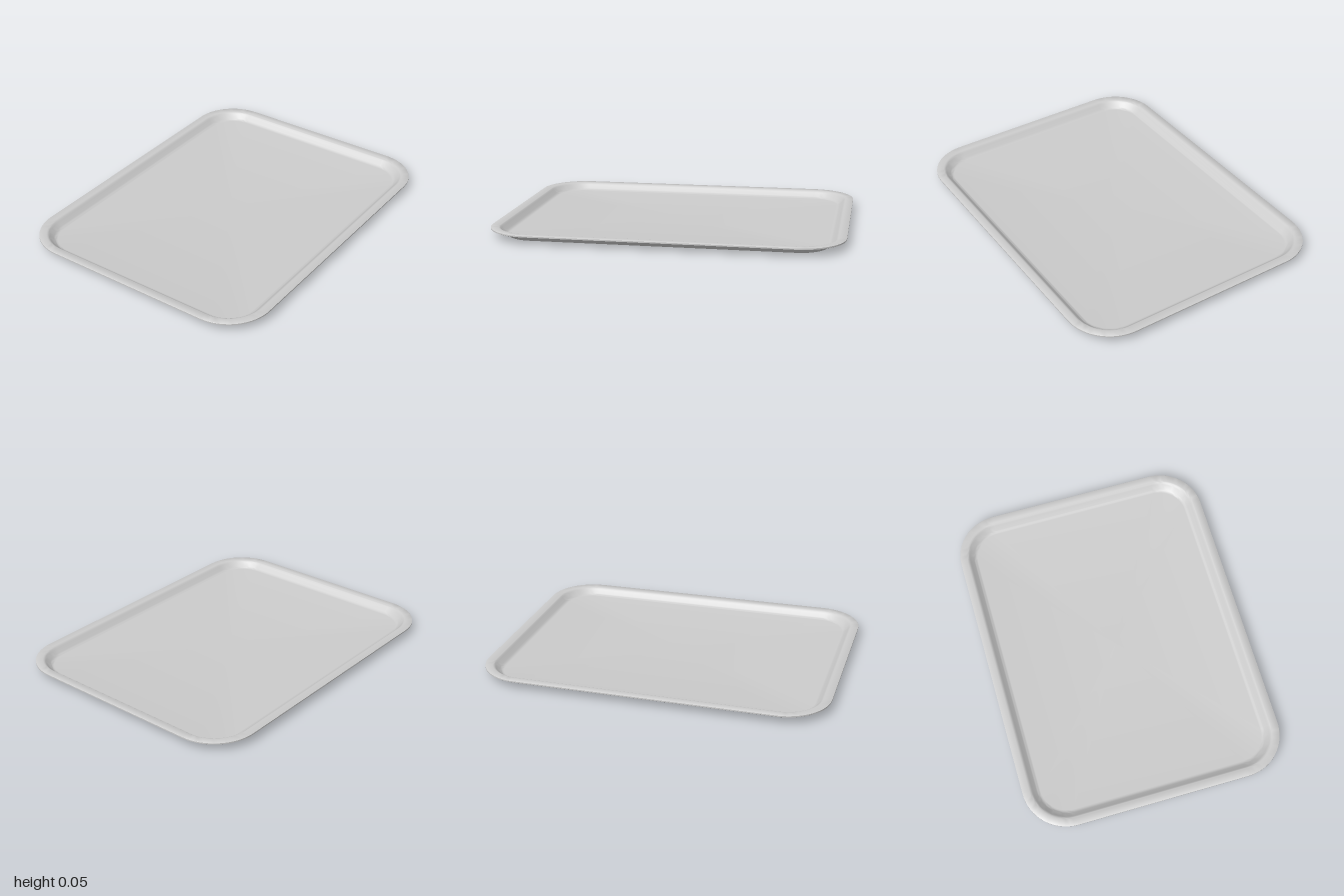
import * as THREE from 'three';
import { toCreasedNormals } from 'three/addons/utils/BufferGeometryUtils.js';

const HALF_X = 1, HALF_Z = 0.765, CORNER = 0.26, STEPS = 16;

// Rounded-rectangle loop, inset from the outer edge, at height y
function ring(inset, y) {
  const points = [];
  const r = CORNER - inset;
  for (let q = 0; q < 4; q++) {
    const cx = (q === 0 || q === 3 ? 1 : -1) * (HALF_X - CORNER);
    const cz = (q < 2 ? 1 : -1) * (HALF_Z - CORNER);
    for (let s = 0; s <= STEPS; s++) {
      const a = (q + s / STEPS) * Math.PI / 2;
      points.push([cx + r * Math.cos(a), y, cz + r * Math.sin(a)]);
    }
  }
  return points;
}

// Skin the loops in order, closing both ends with a fan to the centre
function loft(profile) {
  const rings = profile.map(([inset, y]) => ring(inset, y));
  const n = rings[0].length;
  const pos = [];
  const tri = (a, b, c) => pos.push(...a, ...b, ...c);
  const top = [0, profile[0][1], 0];
  const bottom = [0, profile[profile.length - 1][1], 0];
  for (let j = 0; j < n; j++) {
    const k = (j + 1) % n;
    tri(top, rings[0][k], rings[0][j]);
    for (let i = 0; i < rings.length - 1; i++) {
      const a = rings[i], b = rings[i + 1];
      tri(a[j], a[k], b[j]);
      tri(a[k], b[k], b[j]);
    }
    const last = rings[rings.length - 1];
    tri(bottom, last[j], last[k]);
  }
  const geometry = new THREE.BufferGeometry();
  geometry.setAttribute('position', new THREE.Float32BufferAttribute(pos, 3));
  return toCreasedNormals(geometry, 0.7);
}

export function createModel() {
  const group = new THREE.Group();
  group.name = 'servingTray';

  // Section from the upper floor, up the wall, around the rim and back below
  const profile = [
    [0.102, 0.01], [0.094, 0.011], [0.087, 0.0145], [0.08, 0.02],
    [0.06, 0.041], [0.054, 0.047], [0.048, 0.051], [0.041, 0.0525],
    [0.002, 0.0525], [0, 0.051], [0, 0.044], [0.002, 0.0425],
    [0.049, 0.0425], [0.055, 0.041], [0.061, 0.037],
    [0.088, 0.009], [0.094, 0.004], [0.1, 0.001], [0.108, 0],
  ];
  const tray = new THREE.Mesh(
    loft(profile),
    new THREE.MeshStandardMaterial({ color: 0xcccccc })
  );
  tray.name = 'tray';
  group.add(tray);
  return group;
}
